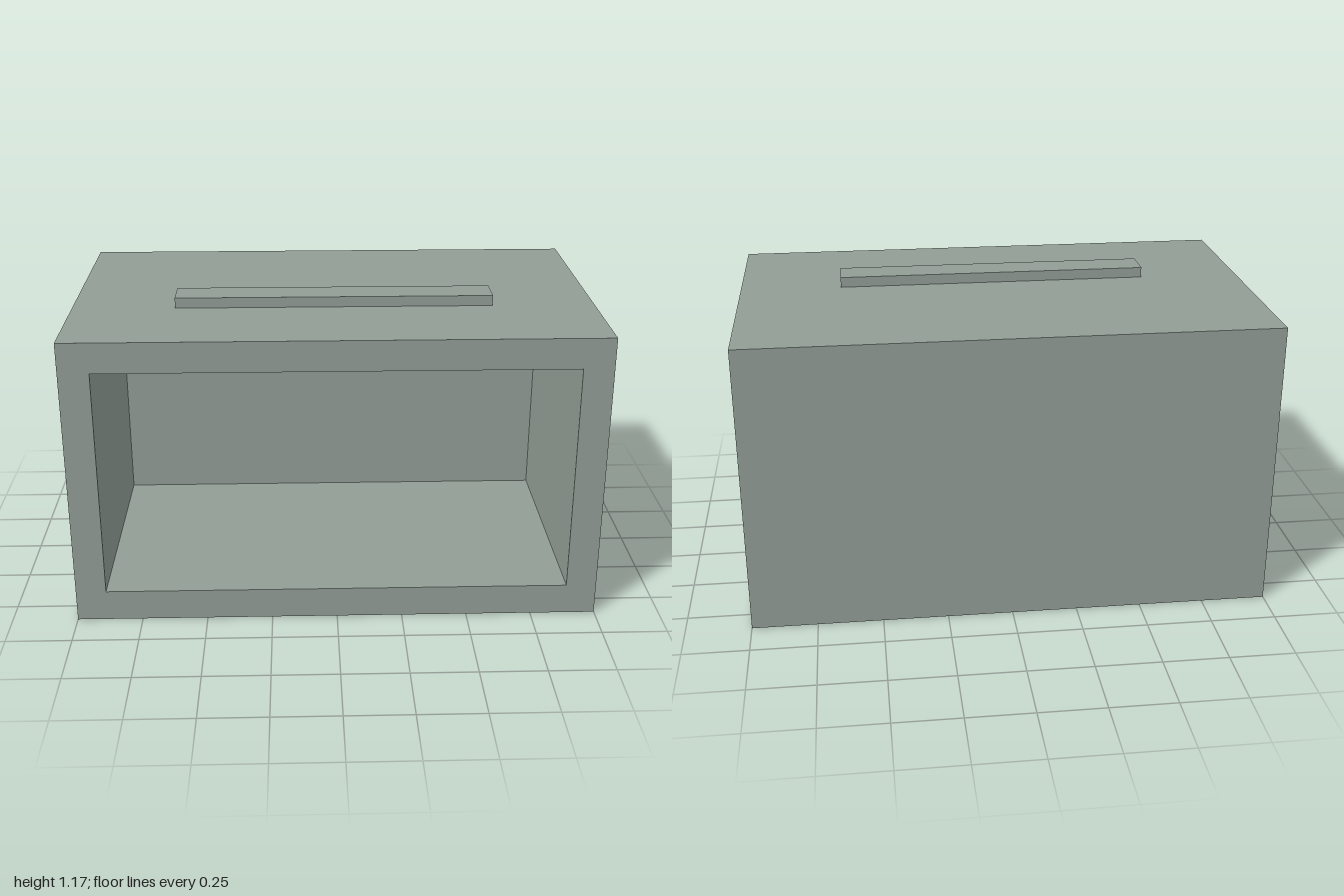
import * as THREE from 'three';

const W = 2, H = 1.127, D = 1.2;          // outer case
const CAVITY_W = 1.77, CAVITY_Y0 = 0.12, CAVITY_Y1 = 1.01, CAVITY_BACK = -0.34;

// Rectangle corners, centred on x
function rect(path, width, y0, y1) {
  const h = width / 2;
  path.moveTo(-h, y0);
  path.lineTo(h, y0);
  path.lineTo(h, y1);
  path.lineTo(-h, y1);
  path.closePath();
  return path;
}

export function createModel() {
  const group = new THREE.Group();
  group.name = 'openFrontCase';
  const greyGreen = new THREE.MeshStandardMaterial({ color: 0x919d95 });
  greyGreen.name = 'greyGreen';

  const add = (name, geometry, x, y, z) => {
    const mesh = new THREE.Mesh(geometry, greyGreen);
    mesh.name = name;
    mesh.position.set(x, y, z);
    group.add(mesh);
  };

  // Four walls around the open front cavity
  const frame = rect(new THREE.Shape(), W, 0, H);
  frame.holes.push(rect(new THREE.Path(), CAVITY_W, CAVITY_Y0, CAVITY_Y1));
  const walls = new THREE.ExtrudeGeometry(frame, { depth: D / 2 - CAVITY_BACK, bevelEnabled: false });
  add('caseWalls', walls, 0, 0, CAVITY_BACK);

  // Thick solid back closing the cavity
  const backDepth = CAVITY_BACK + D / 2;
  add('caseBack', new THREE.BoxGeometry(W, H, backDepth), 0, H / 2, -D / 2 + backDepth / 2);

  // Low bar on the top
  add('topBar', new THREE.BoxGeometry(1.214, 0.04, 0.131), 0, H + 0.02, 0.143);

  return group;
}
